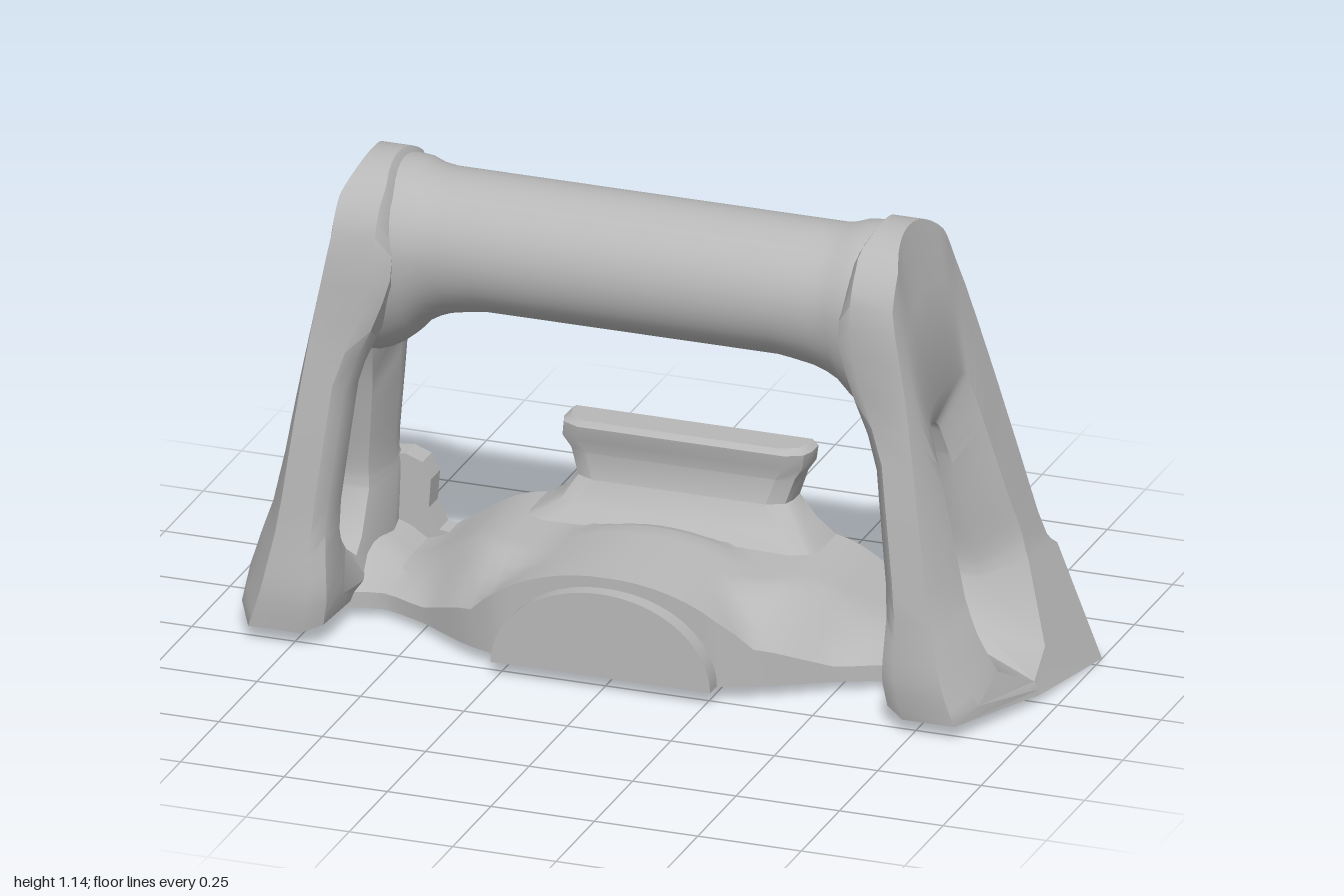
import * as THREE from 'three';
import { toCreasedNormals } from 'three/addons/utils/BufferGeometryUtils.js';

const grey = new THREE.MeshStandardMaterial({ color: 0xb8b8b8 });
grey.name = 'plain grey';

const mix = (a, b, t) => a + (b - a) * t;
const clamp = (t) => Math.min(1, Math.max(0, t));

// Piecewise linear lookup through [input, output] pairs
function along(pairs, v) {
  for (let i = 1; i < pairs.length; i++) {
    const [a, fa] = pairs[i - 1], [b, fb] = pairs[i];
    if (v <= b) return mix(fa, fb, clamp((v - a) / (b - a)));
  }
  return pairs[pairs.length - 1][1];
}

// Skin a series of rings; either joined end to end or capped
function skin(rings, { joined = false, flip = false, crease = 0.6 } = {}) {
  const n = rings[0].length, pos = rings.flat(2), index = [];
  const tri = (a, b, c) => (flip ? index.push(a, c, b) : index.push(a, b, c));
  const count = joined ? rings.length : rings.length - 1;
  for (let r = 0; r < count; r++) {
    const a = r * n, b = ((r + 1) % rings.length) * n;
    for (let i = 0; i < n; i++) {
      const j = (i + 1) % n;
      tri(a + i, a + j, b + j);
      tri(a + i, b + j, b + i);
    }
  }
  if (!joined) {
    for (const last of [false, true]) {
      const ring = last ? rings[rings.length - 1] : rings[0];
      const start = last ? (rings.length - 1) * n : 0, c = pos.length / 3;
      pos.push(...[0, 1, 2].map((k) => ring.reduce((s, p) => s + p[k], 0) / n));
      for (let i = 0; i < n; i++) {
        const j = (i + 1) % n;
        if (last) tri(c, start + i, start + j); else tri(c, start + j, start + i);
      }
    }
  }
  const g = new THREE.BufferGeometry();
  g.setAttribute('position', new THREE.Float32BufferAttribute(pos, 3));
  g.setIndex(index);
  return toCreasedNormals(g, crease);
}

function addPart(group, name, geometry) {
  const mesh = new THREE.Mesh(geometry, grey);
  mesh.name = name;
  group.add(mesh);
}

// Smooth all points but the last two, which stay as straight corners
function smooth(pts) {
  const curve = new THREE.CatmullRomCurve3(pts.slice(0, -2).map(([z, y]) => new THREE.Vector3(z, y, 0)));
  return [...curve.getPoints((pts.length - 3) * 3).map((p) => [p.x, p.y]), ...pts.slice(-2)];
}
const blend = (a, b, t) => a.map(([z, y], i) => [mix(z, b[i][0], t), mix(y, b[i][1], t)]);

// Side frame outlines as [z, y], up the front, over the top, down the back
const outline = smooth([[.28, .035], [.285, .13], [.272, .27], [.25, .55], [.225, .8], [.207, 1], [.165, 1.075], [.1, 1.122], [.02, 1.138],
  [-.06, 1.122], [-.125, 1.075], [-.168, .99], [-.21, .75], [-.235, .52], [-.262, .3], [-.29, .27], [-.29, 0], [0, .018]]);
const rim = smooth([[.13, .12], [.16, .22], [.16, .3], [.152, .5], [.147, .66], [.135, .73], [.09, .75], [.04, .757], [0, .757],
  [-.04, .755], [-.075, .75], [-.09, .72], [-.11, .62], [-.135, .45], [-.155, .34], [-.15, .28], [-.09, .1], [0, .05]]);
const hole = smooth([[.06, .16], [.09, .2], [.093, .26], [.08, .42], [.065, .56], [.05, .615], [.03, .64], [.015, .648], [.005, .65],
  [-.01, .648], [-.025, .635], [-.04, .6], [-.062, .53], [-.088, .4], [-.105, .28], [-.1, .24], [-.04, .15], [0, .12]]);

const innerX = (y) => along([[0, .68], [.12, .66], [.3, .67], [.65, .63], [.8, .56], [.9, .53], [1.1, .53], [1.14, .56]], y);
function outerX(y, z) {
  const base = along([[0, 1], [.3, .88], [1, .69], [1.08, .68], [1.14, .65]], y);
  return base - (.13 * (z + .29) + .7 * Math.max(0, z - .19)) * clamp(1 - y / 1.2);
}

// Leaning frame with a hole whose outer edge is widely bevelled
function sideFrame(side) {
  const ring = (pts, xOf) => pts.map(([z, y]) => [side * xOf(y, z), y, z]);
  const turned = outline.map(([z, y]) => [z < -.15 && y > .3 && y < .95 ? z - .015 : z, y]);
  return skin([
    ring(hole, (y) => innerX(y) + .035),
    ring(hole, (y, z) => mix(innerX(y), outerX(y, z), .5)),
    ring(rim, outerX),
    ring(blend(rim, outline, .6), outerX),
    ring(outline, outerX),
    ring(turned, (y, z) => mix(innerX(y), outerX(y, z), .3)),
    ring(blend(outline, hole, .13), (y) => innerX(y) + .01),
    ring(blend(outline, hole, .5), innerX),
  ], { joined: true, flip: side < 0, crease: 0.75 });
}

// Round grip whose underside swells into the frames
function grip() {
  const rings = [];
  for (let k = 0; k <= 44; k++) {
    const x = mix(-.65, .65, k / 44), ax = Math.abs(x);
    const drop = along([[.36, 0], [.44, .015], [.5, .04], [.56, .085], [.61, .115]], ax);
    const r = along([[.49, .16], [.54, .178]], ax);
    const ring = [];
    for (let i = 0; i < 40; i++) {
      const t = (i / 40) * Math.PI * 2, c = Math.cos(t);
      ring.push([x, .945 + r * c + drop * Math.min(0, c), .01 + r * Math.sin(t)]);
    }
    rings.push(ring);
  }
  return skin(rings);
}

const floorY = (z) => .035 * (z + .29) / .57;

// Sculpted floor: raised in the middle, dipping beside the frames
function floorBody() {
  const rings = [];
  for (let k = 0; k <= 40; k++) {
    const x = mix(-.76, .76, k / 40), ax = Math.abs(x);
    const front = along([[0, .25], [.27, .24], [.36, .2], [.5, .1], [.6, .05], [.66, .06], [.76, .1]], ax);
    const high = along([[0, .22], [.36, .215], [.43, .19], [.55, .11], [.6, .08], [.66, .12], [.76, .14]], ax);
    const low = along([[0, .2], [.27, .13], [.36, .12], [.5, .06], [.76, .06]], ax);
    const ring = [];
    for (let i = 0; i <= 12; i++) {
      const z = mix(-.29, front, i / 12);
      const hump = .265 * Math.sqrt(Math.max(0, 1 - (x / .38) ** 2)) * clamp((z + .3) / .2);
      const slope = mix(high, low, clamp((z - front + .17) / .17));
      ring.push([x, Math.max(slope, hump), z]);
    }
    ring.push([x, floorY(front), front], [x, 0, -.29]);
    rings.push(ring);
  }
  return skin(rings, { crease: 0.7 });
}

// Waisted upright at the back, as [y, left reach, right reach, front z]
function backRest() {
  const rows = [[.03, .46, .5, -.08], [.13, .42, .46, -.09], [.21, .36, .35, -.12], [.25, .31, .28, -.17], [.3, .27, .25, -.2],
    [.36, .29, .27, -.21], [.39, .31, .29, -.205], [.425, .315, .285, -.2], [.438, .3, .27, -.21]];
  return skin(rows.map(([y, l, r, z]) => [
    [l - .05, y, z], [l - .01, y, z - .02], [l, y, z - .05], [l, y, -.29],
    [-r, y, -.29], [-r, y, z - .05], [-r + .01, y, z - .02], [-r + .05, y, z],
  ]));
}

function plate(points, depth, z) {
  const shape = new THREE.Shape(points.map(([x, y]) => new THREE.Vector2(x, y)));
  return new THREE.ExtrudeGeometry(shape, { depth, bevelEnabled: false }).translate(0, 0, z);
}

// Half-round boss at the front
function frontBoss() {
  const shape = new THREE.Shape();
  shape.absellipse(0, .034, .265, .205, 0, Math.PI);
  const g = new THREE.ExtrudeGeometry(shape, { depth: .2, bevelEnabled: false, curveSegments: 32 });
  return toCreasedNormals(g.translate(0, 0, .085), 0.6);
}

export function createModel() {
  const model = new THREE.Group();
  model.name = 'carryHandle';
  addPart(model, 'grip', grip());
  addPart(model, 'floorBody', floorBody());
  addPart(model, 'backRest', backRest());
  addPart(model, 'frontBoss', frontBoss());
  for (const side of [1, -1]) {
    const name = side > 0 ? 'left' : 'right';
    addPart(model, name + 'Frame', sideFrame(side));
    // Upright lug behind each frame, with a rounded inner edge
    const lug = [[.5, 0], [.97, 0], [.87, .265], [.66, .285], [.62, .27], [.6, .23], [.605, .16], [.58, .11], [.5, .1]];
    addPart(model, name + 'Lug', plate(lug.map(([x, y]) => [side * x, y]), .06, -.29));
  }
  return model;
}
